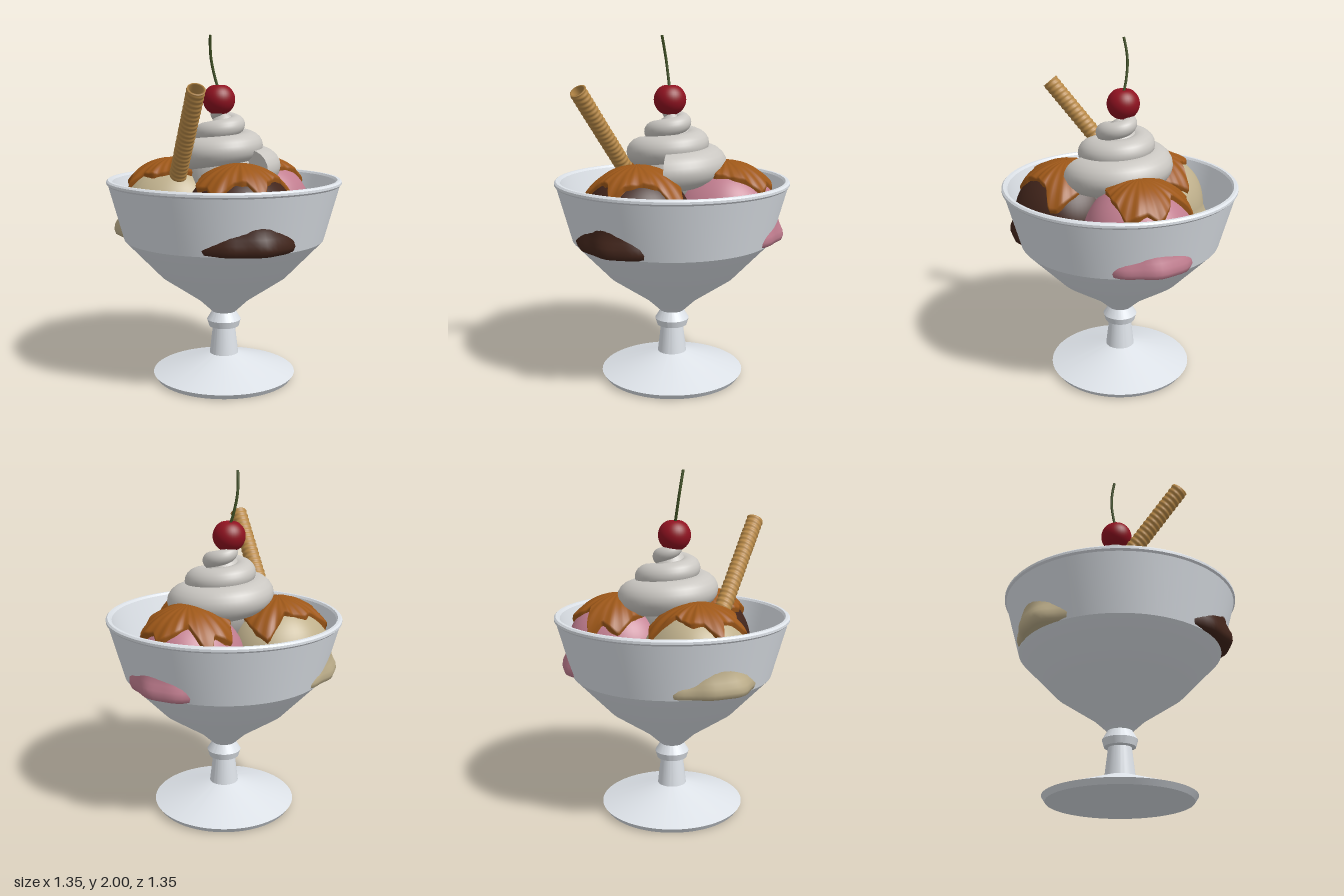
import * as THREE from 'three';
import { toCreasedNormals } from 'three/addons/utils/BufferGeometryUtils.js';
import { ParametricGeometry } from 'three/addons/geometries/ParametricGeometry.js';

const SCOOP_Y = 0.97, SCOOP_R = 0.31, SAUCE_R = 0.332;
const paint = (color, double) =>
  new THREE.MeshStandardMaterial({ color, side: double ? THREE.DoubleSide : THREE.FrontSide });
const v2 = (list) => list.map(([x, y]) => new THREE.Vector2(x, y));

function part(group, name, geometry, material) {
  const mesh = new THREE.Mesh(geometry, material);
  mesh.name = name;
  group.add(mesh);
  return mesh;
}

// Moves every vertex of a lathe in or out: rule(angle, y, radius) returns the new radius
function reshape(geometry, rule) {
  const p = geometry.attributes.position;
  for (let i = 0; i < p.count; i++) {
    const x = p.getX(i), z = p.getZ(i), r = Math.hypot(x, z);
    if (r < 1e-5) continue;
    const k = rule(Math.atan2(-z, x), p.getY(i), r) / r;
    p.setX(i, x * k);
    p.setZ(i, z * k);
  }
  geometry.computeVertexNormals();
  return geometry;
}

// Ball with a ruffled skirt at its flat base
function scoopGeometry(seed) {
  const pts = [[0, 0.84], [0.2, 0.84], [0.305, 0.84], [0.325, 0.85], [0.334, 0.875], [0.331, 0.905], [0.32, 0.935]];
  for (let i = 0; i <= 20; i++) {
    const a = (i / 20) * Math.PI / 2;
    pts.push([SCOOP_R * Math.cos(a), SCOOP_Y + SCOOP_R * Math.sin(a)]);
  }
  return reshape(new THREE.LatheGeometry(v2(pts), 64), (a, y, r) => {
    const skirt = THREE.MathUtils.clamp((0.98 - y) / 0.08, 0, 1);
    const ruffle = 0.008 * Math.sin(5 * a + seed) + 0.005 * Math.sin(11 * a + 2 * seed);
    return r + skirt * ruffle + 0.003 * Math.sin(4 * a + seed + 12 * y);
  });
}

// Sauce cap on a ball; its ragged edge follows an outline given in plan as [x, z]
function sauceGeometry(cx, cz, outline) {
  const polar = outline
    .map(([x, z]) => ({ a: Math.atan2(cz - z, x - cx), r: Math.hypot(x - cx, z - cz) }))
    .sort((p, q) => p.a - q.a);
  const first = polar[0], last = polar[polar.length - 1];
  polar.unshift({ a: last.a - 2 * Math.PI, r: last.r });
  polar.push({ a: first.a + 2 * Math.PI, r: first.r });
  const edge = (a) => {
    let i = 1;
    while (i < polar.length - 1 && polar[i].a < a) i++;
    const p = polar[i - 1], q = polar[i];
    return THREE.MathUtils.lerp(p.r, q.r, (a - p.a) / (q.a - p.a));
  };
  return new ParametricGeometry((u, v, out) => {
    const a = (u * 2 - 1) * Math.PI, t = Math.max(1 - v, 0.002);
    const tilt = t * Math.asin(Math.min(edge(a) / 0.325, 0.96));
    const fold = 0.006 * t * t * Math.sin(10 * a + 3 * t) + 0.003 * t * Math.sin(23 * a);
    const R = SAUCE_R + fold - 0.035 * THREE.MathUtils.smoothstep(t, 0.88, 1);
    const r = R * Math.sin(tilt);
    out.set(cx + r * Math.cos(a), SCOOP_Y + R * Math.cos(tilt), cz - r * Math.sin(a));
  }, 120, 24);
}

export function createModel() {
  const model = new THREE.Group();
  model.name = 'iceCreamSundae';

  // Footed bowl
  const bowl = new THREE.LatheGeometry(v2([
    [0, 0], [0.4, 0], [0.42, 0.03], [0.4, 0.036], [0.085, 0.14], [0.066, 0.3], [0.088, 0.305], [0.1, 0.345],
    [0.07, 0.395], [0.15, 0.47], [0.37, 0.62], [0.58, 0.84], [0.667, 1.155], [0.677, 1.165],
    [0.677, 1.178], [0.668, 1.187], [0.652, 1.187], [0.643, 1.175], [0.555, 0.86], [0.35, 0.65], [0.13, 0.5], [0, 0.47],
  ]), 72);
  part(model, 'glassBowl', toCreasedNormals(bowl, 0.35), paint(0xdde2e8));

  // Three scoops, each with its sauce
  const scoops = [
    { name: 'vanilla', color: 0xbfb08c, x: -0.27, z: 0.155, outline: [
      [-0.4, -0.12], [-0.41, -0.02], [-0.4, 0.03], [-0.49, 0.12], [-0.48, 0.19], [-0.525, 0.3], [-0.43, 0.3],
      [-0.39, 0.35], [-0.36, 0.43], [-0.29, 0.38], [-0.2, 0.37], [-0.12, 0.28], [-0.06, 0.2], [-0.08, 0.05], [-0.2, -0.08]] },
    { name: 'chocolate', color: 0x42251b, x: 0.27, z: 0.155, outline: [
      [0.46, -0.11], [0.45, 0.0], [0.47, 0.08], [0.5, 0.18], [0.55, 0.26], [0.45, 0.29], [0.4, 0.34], [0.35, 0.44],
      [0.25, 0.41], [0.18, 0.41], [0.09, 0.32], [0.06, 0.2], [0.08, 0.05], [0.2, -0.06], [0.34, -0.12]] },
    { name: 'strawberry', color: 0xc27e90, x: 0, z: -0.305, outline: [
      [-0.3, -0.28], [-0.25, -0.38], [-0.29, -0.45], [-0.23, -0.47], [-0.13, -0.46], [-0.09, -0.54], [-0.01, -0.595],
      [0.05, -0.56], [0.17, -0.54], [0.19, -0.44], [0.2, -0.33], [0.19, -0.25], [0.1, -0.1], [-0.1, -0.1], [-0.22, -0.2]] },
  ];
  const sauce = paint(0x9d5718, true);
  scoops.forEach((s, i) => {
    part(model, s.name + 'Scoop', scoopGeometry(i * 2 + 1), paint(s.color)).position.set(s.x, 0, s.z);
    part(model, s.name + 'Sauce', sauceGeometry(s.x, s.z, s.outline), sauce);
  });

  // Fruit bits in the strawberry scoop
  const fruit = paint(0xa0182c);
  for (const [x, z] of [[0.243, -0.468], [-0.262, -0.47], [-0.285, -0.4]]) {
    const bit = part(model, 'fruitBit', new THREE.SphereGeometry(0.022, 12, 8), fruit);
    bit.position.set(x, 1.07, z);
    bit.scale.set(1, 0.7, 0.8);
  }

  // Whipped cream: a tapering spiral over a solid core
  const cream = paint(0xcac7c2, true);
  const turns = 2.85, ex = -0.005;
  const swirl = new ParametricGeometry((u, v, out) => {
    const k = u * turns, a = k * 2 * Math.PI, s = v * 2 * Math.PI;
    const wide = 0.13 - 0.035 * k, tall = 0.11 - 0.027 * k;
    const r = 0.212 - 0.068 * k + wide * Math.cos(s);
    out.set(ex + r * Math.cos(a), 1.25 + 0.118 * k + tall * Math.sin(s), -r * Math.sin(a));
  }, 160, 20);
  part(model, 'whippedCream', swirl, cream);
  const cut = part(model, 'whippedCreamEnd', new THREE.CircleGeometry(1, 20), cream);
  cut.position.set(ex + 0.212, 1.25, 0);
  cut.scale.set(0.13, 0.11, 1);
  part(model, 'whippedCreamCore', new THREE.LatheGeometry(
    v2([[0, 1.1], [0.2, 1.1], [0.2, 1.28], [0.12, 1.42], [0.06, 1.53], [0, 1.57]]), 32), cream);

  // Cherry with a dimple, and its stem
  const cherry = [];
  for (let i = 0; i <= 24; i++) {
    const a = (i / 24) * Math.PI, r = 0.093 * Math.sin(a);
    cherry.push([i % 24 ? r : 0, -0.09 * Math.cos(a) - (a > 2 ? 0.02 * Math.exp(-((r / 0.025) ** 2)) : 0)]);
  }
  part(model, 'cherry', new THREE.LatheGeometry(v2(cherry), 36), paint(0x8f1220)).position.set(-0.025, 1.638, 0.015);
  const stem = new THREE.CatmullRomCurve3([
    [-0.028, 1.7, 0.018], [-0.045, 1.76, 0.027], [-0.06, 1.86, 0.042], [-0.057, 1.93, 0.053], [-0.046, 1.998, 0.064],
  ].map((p) => new THREE.Vector3(...p)));
  part(model, 'cherryStem', new THREE.TubeGeometry(stem, 24, 0.008, 8), paint(0x3f4f22, true));

  // Rolled wafer: hollow tube with a spiral ridge
  const from = new THREE.Vector3(-0.085, 1.215, 0.285), to = new THREE.Vector3(0.268, 1.7, 0.48);
  const axis = to.clone().sub(from), length = axis.length(), steps = 120;
  const roll = [[0.036, 0]];
  for (let i = 0; i <= steps; i++) roll.push([0.048, (i / steps) * length]);
  roll.push([0.037, length], [0.036, 0]);
  const rollGeometry = reshape(new THREE.LatheGeometry(v2(roll), 28), (a, y, r) =>
    r > 0.04 ? r + 0.0022 * Math.sin(a + y * 2 * Math.PI / 0.03) : r);
  const wafer = part(model, 'waferRoll', rollGeometry, paint(0xb98a48, true));
  wafer.position.copy(from);
  wafer.quaternion.setFromUnitVectors(new THREE.Vector3(0, 1, 0), axis.normalize());

  return model;
}
